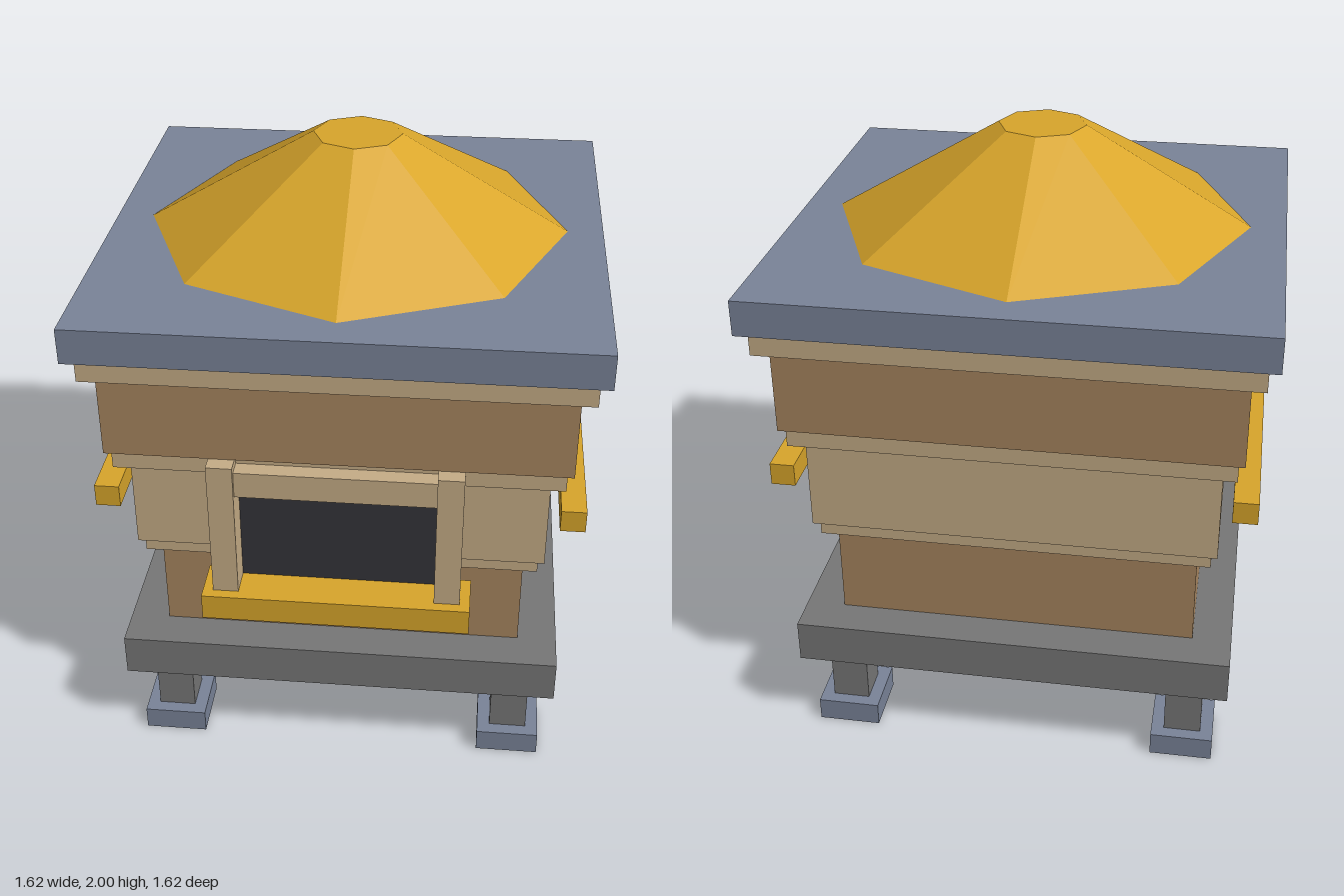
import * as THREE from 'three';

const paint = (color) => new THREE.MeshStandardMaterial({ color, flatShading: true });

export function createModel() {
  const model = new THREE.Group();
  const wood = paint(0xa8865f);
  const paleWood = paint(0xc6ad87);
  const gold = paint(0xd9a62b);
  const slate = paint(0x7a8499);
  const stone = paint(0x777777);
  const dark = paint(0x35343a);

  // Box given by its centre x/z, bottom and top heights, width and depth
  function box(name, material, x, z, y0, y1, width, depth = width) {
    const mesh = new THREE.Mesh(new THREE.BoxGeometry(width, y1 - y0, depth), material);
    mesh.position.set(x, (y0 + y1) / 2, z);
    mesh.name = name;
    model.add(mesh);
    return mesh;
  }

  // Four legs on square feet
  for (const x of [-0.585, 0.585]) {
    for (const z of [-0.585, 0.585]) {
      box('foot', slate, x, z, 0, 0.08, 0.21);
      box('leg', stone, x, z, 0.08, 0.295, 0.125);
    }
  }

  // Stacked square tiers: name, material, bottom, top, width
  const tiers = [
    ['basePlatform', stone, 0.295, 0.44, 1.46],
    ['lowerBody', wood, 0.44, 0.765, 1.2],
    ['lowerTrim', paleWood, 0.765, 0.815, 1.29],
    ['middleBody', paleWood, 0.815, 1.135, 1.33],
    ['middleTrim', paleWood, 1.135, 1.2, 1.42],
    ['upperBody', wood, 1.2, 1.557, 1.46],
    ['upperTrim', paleWood, 1.485, 1.55, 1.55],
    ['roofSlab', slate, 1.565, 1.68, 1.62],
  ];
  for (const [name, material, y0, y1, width] of tiers) box(name, material, 0, 0, y0, y1, width);

  // Eight-sided roof with a flat top
  const roof = new THREE.Mesh(new THREE.CylinderGeometry(0.145, 0.693, 0.32, 8), gold);
  roof.position.y = 1.84;
  roof.name = 'roof';
  model.add(roof);

  // Rails along both sides
  for (const x of [-0.742, 0.742]) box('sideRail', gold, x, 0.003, 0.975, 1.05, 0.08, 1.39);

  // Framed opening on the front
  box('opening', dark, 0, 0.638, 0.71, 1.1, 0.64, 0.095);
  for (const x of [-0.358, 0.358]) box('doorPost', paleWood, x, 0.733, 0.6, 1.2, 0.083, 0.095);
  box('lintel', paleWood, 0, 0.728, 1.085, 1.175, 0.64, 0.075);
  box('sill', gold, 0, 0.735, 0.63, 0.72, 0.865, 0.16);

  return model;
}
